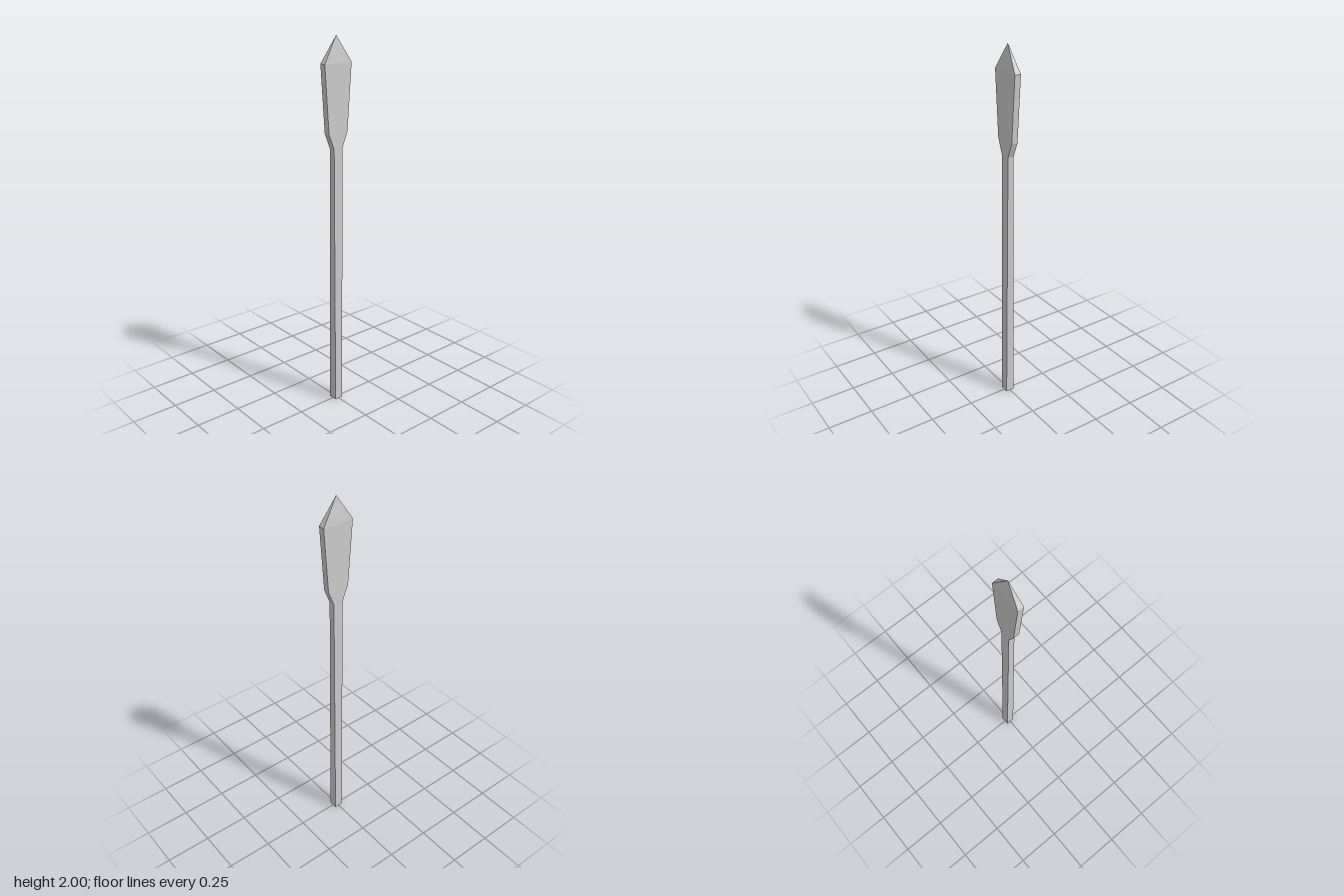
import * as THREE from 'three';

// Loft of rectangular sections [y, halfWidth, halfDepth]; optional caps at either end
function loft(sections, capBottom) {
  const pos = [];
  const ring = ([y, w, d]) => [[-w, y, d], [w, y, d], [w, y, -d], [-w, y, -d]];
  const tri = (...corners) => corners.forEach((c) => pos.push(...c));
  for (let i = 0; i < sections.length - 1; i++) {
    const a = ring(sections[i]);
    const b = ring(sections[i + 1]);
    const pointed = sections[i + 1][1] === 0;
    for (let k = 0; k < 4; k++) {
      const n = (k + 1) % 4;
      tri(a[k], a[n], b[n]);
      if (!pointed) tri(a[k], b[n], b[k]);
    }
  }
  if (capBottom) {
    const [p, q, r, s] = ring(sections[0]);
    tri(p, s, r);
    tri(p, r, q);
  }
  const geometry = new THREE.BufferGeometry();
  geometry.setAttribute('position', new THREE.Float32BufferAttribute(pos, 3));
  geometry.computeVertexNormals();
  return geometry;
}

export function createModel() {
  const group = new THREE.Group();
  group.name = 'spear';
  const material = new THREE.MeshStandardMaterial({ color: 0xcccccc, flatShading: true });
  const add = (name, geometry) => {
    const mesh = new THREE.Mesh(geometry, material);
    mesh.name = name;
    group.add(mesh);
  };

  // Square shaft, growing flatter and slightly wider upwards
  const neck = [1.44, 0.027, 0.017];
  add('shaft', loft([[0, 0.024, 0.024], neck], true));

  // Flat blade: shoulders, widening sides, then a four-sided point
  add('blade', loft([neck, [1.522, 0.06, 0.017], [1.867, 0.085, 0.017], [2, 0, 0]], false));

  return group;
}
